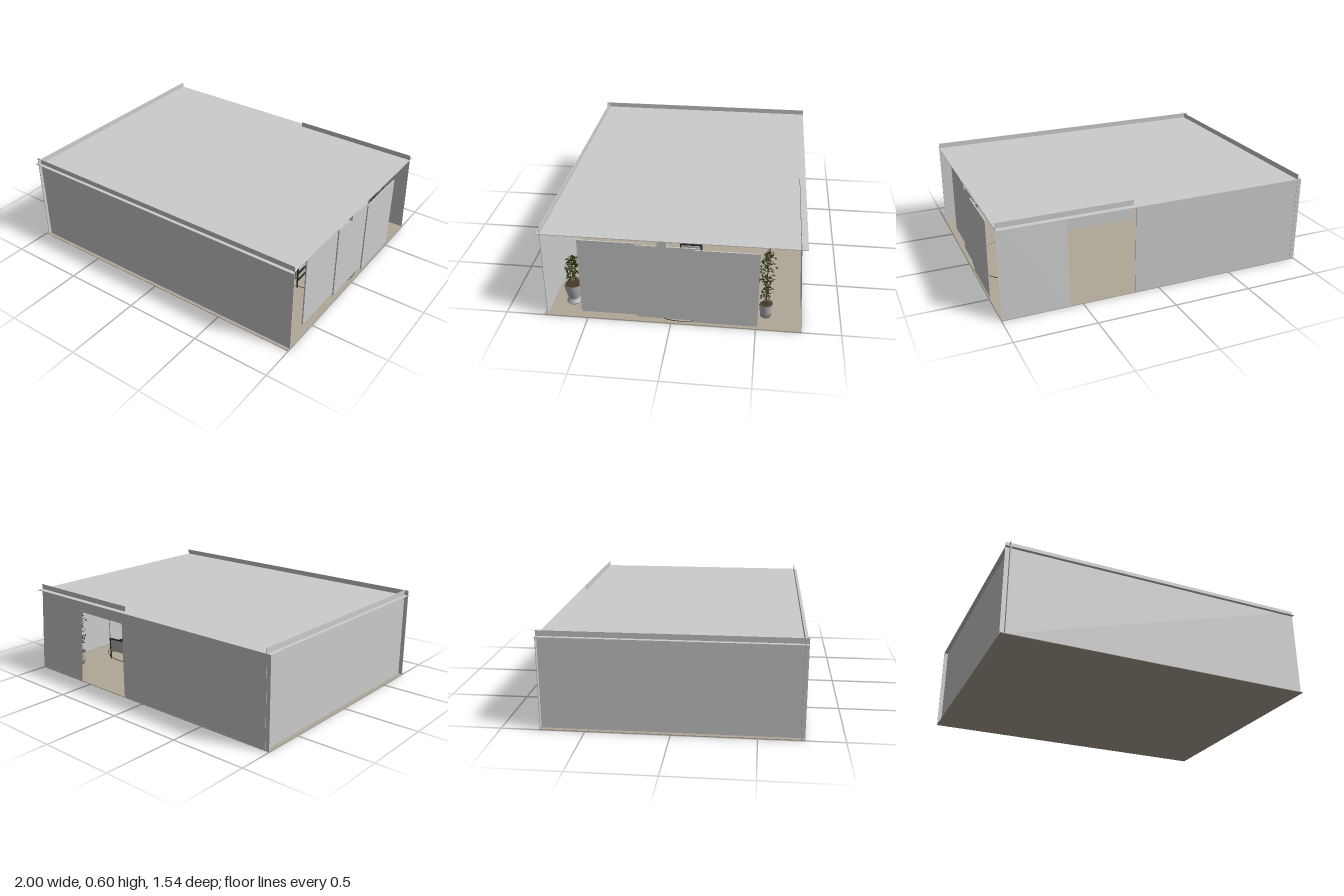
import * as THREE from 'three';

const mat = (name, color, double = false) => {
  const m = new THREE.MeshStandardMaterial({ color });
  m.name = name;
  if (double) m.side = THREE.DoubleSide;
  return m;
};

export function createModel() {
  const wall = mat('wall grey', 0xcccccc, true);
  const floorMat = mat('floor beige', 0xb0a898, true);
  const dark = mat('dark frame', 0x2a2725);
  const cushion = mat('cushion grey', 0xb4b0aa);
  const potMat = mat('pot grey', 0xb8b8b8, true);
  const leafMat = mat('leaf green', 0x2c300c, true);
  const bark = mat('bark brown', 0x4a3b2a);

  const room = new THREE.Group();
  room.name = 'room';
  const add = (parent, name, geo, m, x = 0, y = 0, z = 0) => {
    const mesh = new THREE.Mesh(geo, m);
    mesh.name = name;
    mesh.position.set(x, y, z);
    parent.add(mesh);
    return mesh;
  };
  // box given by its minimum and maximum corners
  const box = (parent, name, m, x0, x1, y0, y1, z0, z1) =>
    add(parent, name, new THREE.BoxGeometry(x1 - x0, y1 - y0, z1 - z0), m,
      (x0 + x1) / 2, (y0 + y1) / 2, (z0 + z1) / 2);

  // shell: thin crossing slabs, walls rising above the ceiling
  box(room, 'floor', floorMat, -1, 1, 0, 0.004, -0.77, 0.77);
  box(room, 'ceiling', wall, -1, 1, 0.563, 0.567, -0.77, 0.77);
  box(room, 'frontWall', wall, -1, 1, 0, 0.6, 0.745, 0.749);
  box(room, 'sideWall', wall, -0.974, -0.97, 0, 0.6, -0.77, 0.77);
  box(room, 'backWall', wall, -1, 0.16, 0, 0.567, -0.768, -0.764);
  box(room, 'doorLintel', wall, 0.16, 0.58, 0.48, 0.6, -0.734, -0.73);
  box(room, 'backWallTop', wall, 0.58, 1, 0.555, 0.6, -0.734, -0.73);

  // back wall section beside the doorway leans outward at the bottom
  const lean = new THREE.PlaneGeometry(0.42, 0.59);
  const lp = lean.attributes.position;
  for (let i = 0; i < lp.count; i++) lp.setZ(i, lp.getY(i) > 0 ? -0.732 : -0.768);
  lean.computeVertexNormals();
  add(room, 'leaningWall', lean, wall, 0.79, 0.295, 0);

  // three staggered sliding panels with rails on the open side
  for (let i = 0; i < 3; i++) {
    const z1 = 0.545 - i * 0.341, x = 0.955 + i * 0.018;
    box(room, 'slidingPanel', wall, x, x + 0.008, 0.02, 0.52, z1 - 0.373, z1);
  }
  box(room, 'panelBracket', wall, 0.955, 0.998, 0.52, 0.563, 0.02, 0.075);

  // ceiling light tracks and spots
  for (const x of [-0.5, 0.35]) {
    box(room, 'lightTrack', dark, x - 0.006, x + 0.006, 0.558, 0.563, -0.64, 0.64);
    for (const z of [-0.45, -0.21, 0.1, 0.36, 0.48])
      add(room, 'spotLight', new THREE.CylinderGeometry(0.012, 0.012, 0.006, 12), dark, x, 0.556, z);
  }

  // round rug and table
  const cx = 0.68, cz = -0.05;
  add(room, 'rug', new THREE.CylinderGeometry(0.3, 0.3, 0.004, 48), floorMat, cx, 0.006, cz);
  add(room, 'rugBorder', new THREE.TorusGeometry(0.3, 0.002, 4, 48).rotateX(Math.PI / 2), dark, cx, 0.007, cz);
  const table = new THREE.Group();
  table.name = 'table';
  table.position.set(cx, 0.004, cz);
  room.add(table);
  add(table, 'tableTop', new THREE.CylinderGeometry(0.1, 0.1, 0.006, 32), cushion, 0, 0.11, 0);
  add(table, 'tableRim', new THREE.TorusGeometry(0.1, 0.003, 6, 32).rotateX(Math.PI / 2), dark, 0, 0.11, 0);
  for (let i = 0; i < 4; i++) {
    const a = i * Math.PI / 2 + 0.4;
    const path = new THREE.LineCurve3(
      new THREE.Vector3(Math.cos(a) * 0.03, 0.108, Math.sin(a) * 0.03),
      new THREE.Vector3(Math.cos(a) * 0.07, 0, Math.sin(a) * 0.07));
    add(table, 'tableLeg', new THREE.TubeGeometry(path, 1, 0.004, 6), dark);
  }

  // armchairs facing the table
  const chair = (x, z, turn) => {
    const g = new THREE.Group();
    g.name = 'armchair';
    g.position.set(x, 0.004, z);
    g.rotation.y = turn;
    room.add(g);
    box(g, 'seat', cushion, -0.06, 0.06, 0.058, 0.08, -0.06, 0.06);
    box(g, 'backrest', cushion, -0.06, 0.06, 0.08, 0.15, -0.068, -0.052);
    box(g, 'backRail', dark, -0.07, 0.07, 0.15, 0.158, -0.07, -0.06);
    for (const s of [-1, 1]) {
      add(g, 'arm', new THREE.BoxGeometry(0.01, 0.008, 0.14), dark, s * 0.068, 0.112, 0);
      add(g, 'seatRail', new THREE.BoxGeometry(0.008, 0.008, 0.13), dark, s * 0.066, 0.055, 0);
      add(g, 'frontLeg', new THREE.CylinderGeometry(0.006, 0.004, 0.11, 8), dark, s * 0.068, 0.055, 0.062);
      add(g, 'backLeg', new THREE.CylinderGeometry(0.006, 0.004, 0.155, 8), dark, s * 0.068, 0.0775, -0.064);
    }
  };
  chair(cx + 0.02, cz - 0.23, 0.1);
  chair(cx, cz + 0.24, Math.PI);
  chair(cx - 0.25, cz, Math.PI / 2);

  // potted plants: lathed pot, trunk and a cloud of folded leaves
  let seed = 7;
  const rnd = () => (seed = (seed * 16807) % 2147483647) / 2147483647;
  const leaf = new THREE.BufferGeometry();
  leaf.setAttribute('position', new THREE.Float32BufferAttribute(
    [0, 0, 0, 0.007, 0.004, 0.012, 0, 0, 0.032, -0.007, 0.004, 0.012], 3));
  leaf.setIndex([0, 2, 1, 0, 3, 2]);
  leaf.computeVertexNormals();
  const plant = (x, z, profile, y0, y1, radius, count) => {
    const g = new THREE.Group();
    g.name = 'pottedPlant';
    g.position.set(x, 0.004, z);
    room.add(g);
    add(g, 'pot', new THREE.LatheGeometry(profile.map(p => new THREE.Vector2(...p)), 32), potMat);
    const rim = profile[profile.length - 1];
    add(g, 'soil', new THREE.CylinderGeometry(rim[0] * 0.88, rim[0] * 0.88, 0.004, 24), bark, 0, rim[1] - 0.012, 0);
    const top = y1 - 0.04;
    add(g, 'trunk', new THREE.CylinderGeometry(0.002, 0.004, top - 0.05, 6), bark, 0, (top + 0.05) / 2, 0);
    for (let i = 0; i < count; i++) {
      const t = rnd(), a = rnd() * Math.PI * 2;
      const r = radius * Math.sqrt(rnd()) * (0.4 + 0.6 * Math.sin(Math.PI * (0.15 + 0.75 * t)));
      const m = add(g, 'leaf', leaf, leafMat, Math.cos(a) * r * 0.75, y0 + (y1 - y0 - 0.02) * t, Math.sin(a) * r * 0.75);
      m.rotation.set(0.9 * (rnd() - 0.2), a + rnd() * 2, rnd() - 0.5, 'YXZ');
    }
  };
  plant(0.84, 0.62, [[0, 0], [0.046, 0], [0.046, 0.008], [0.03, 0.026], [0.036, 0.034],
    [0.052, 0.09], [0.058, 0.134]], 0.16, 0.335, 0.062, 110);
  plant(0.86, -0.555, [[0, 0], [0.032, 0], [0.036, 0.04], [0.042, 0.091]], 0.15, 0.475, 0.075, 150);

  return room;
}
